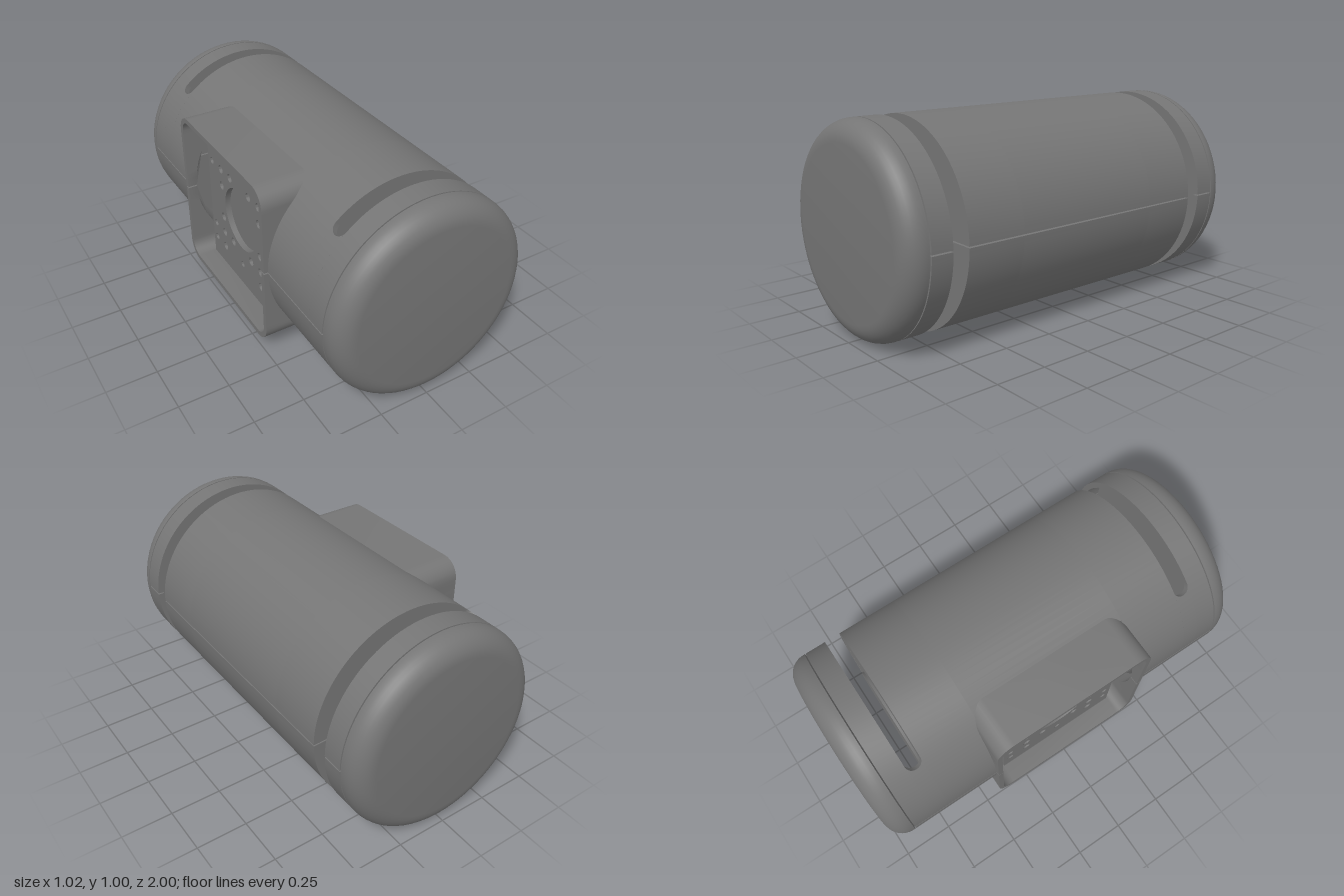
import * as THREE from 'three';
import { toCreasedNormals } from 'three/addons/utils/BufferGeometryUtils.js';

const R = 0.5, WALL = 0.03, GAP = 0.0035; // shell radius, wall, half the seam gap
const rad = THREE.MathUtils.degToRad;

export function createModel() {
  const material = new THREE.MeshStandardMaterial({ color: 0x757575 });
  const model = new THREE.Group();
  model.name = 'cylindricalHousing';
  const body = new THREE.Group();
  body.name = 'body';
  body.position.set(0.01, 0.503, 0);
  model.add(body);

  function add(name, geometry) {
    const mesh = new THREE.Mesh(geometry, material);
    mesh.name = name;
    body.add(mesh);
    return mesh;
  }

  // Mirrors a geometry in y and keeps its faces outward
  function mirrorY(geometry) {
    const g = geometry.index ? geometry.toNonIndexed() : geometry.clone();
    g.scale(1, -1, 1);
    const p = g.attributes.position, a = new THREE.Vector3(), b = new THREE.Vector3();
    for (let i = 0; i < p.count; i += 3) {
      a.fromBufferAttribute(p, i + 1);
      b.fromBufferAttribute(p, i + 2);
      p.setXYZ(i + 1, b.x, b.y, b.z);
      p.setXYZ(i + 2, a.x, a.y, a.z);
    }
    return g;
  }

  // Adds a part to the upper half and its mirror image to the lower half
  function addHalves(name, geometry) {
    add(name + 'Upper', toCreasedNormals(geometry, 0.6));
    add(name + 'Lower', toCreasedNormals(mirrorY(geometry), 0.6));
  }

  // Curved wall lofted along z between two angles
  function curvedWall(zs, from, to, n = 48) {
    const pos = [], idx = [], m = 2 * (n + 1);
    for (const z of zs) {
      const a0 = from(z), a1 = to(z);
      for (let k = 0; k < m; k++) {
        const outer = k <= n;
        const a = a0 + (a1 - a0) * (outer ? k : m - 1 - k) / n;
        const r = outer ? R : R - WALL;
        pos.push(r * Math.cos(a), r * Math.sin(a), z);
      }
    }
    const quad = (a, b, c, d) => idx.push(a, b, c, a, c, d);
    for (let i = 0; i < zs.length - 1; i++) {
      for (let k = 0; k < m; k++) {
        const k2 = (k + 1) % m;
        quad(i * m + k, i * m + k2, (i + 1) * m + k2, (i + 1) * m + k);
      }
    }
    const end = (zs.length - 1) * m;
    for (let j = 0; j < n; j++) {
      quad(end + j, end + j + 1, end + m - 2 - j, end + m - 1 - j);
      quad(j, m - 1 - j, m - 2 - j, j + 1);
    }
    const g = new THREE.BufferGeometry();
    g.setAttribute('position', new THREE.Float32BufferAttribute(pos, 3));
    g.setIndex(idx);
    return g;
  }

  // Shell halves: full bands, the part cut open behind the mount, and slotted bands
  const start = () => GAP / R, stop = () => Math.PI - GAP / R;
  const mountCut = () => start() + (stop() - start()) * 34 / 48;
  addHalves('shellMiddle', curvedWall([-0.405, 0.405], start, mountCut, 34));
  for (const s of [-1, 1]) {
    const side = s > 0 ? 'Front' : 'Rear';
    const band = (a, b) => [s * a, s * b].sort((p, q) => p - q);
    addHalves('shell' + side, curvedWall(band(0.405, 0.7), start, stop));
    addHalves('endRing' + side, curvedWall(band(0.78, 0.885), start, stop));

    // Slot with a rounded end
    const zs = [];
    for (let i = 0; i <= 12; i++) zs.push(s * 0.74 - 0.04 * Math.cos(Math.PI * i / 12));
    const slotEnd = z => {
      const t = (z - s * 0.74) / 0.04;
      return rad(135) - 0.08 * (1 - Math.sqrt(Math.max(0, 1 - t * t)));
    };
    addHalves('slotBand' + side, curvedWall(zs, slotEnd, stop, 20));

    // Bulkhead closing the shell beside the slot
    const half = new THREE.Shape().absarc(0, 0, R - WALL / 2, 2 * GAP, Math.PI - 2 * GAP, false);
    const bulkhead = new THREE.ExtrudeGeometry(half, { depth: 0.03, bevelEnabled: false, curveSegments: 48 });
    bulkhead.translate(0, 0, s > 0 ? 0.669 : -0.699);
    addHalves('bulkhead' + side, bulkhead);

    // Rounded end cap
    const profile = [new THREE.Vector2(0, 0.891), new THREE.Vector2(R, 0.891)];
    for (let i = 0; i <= 8; i++) {
      const a = Math.PI / 2 * i / 8;
      profile.push(new THREE.Vector2(R - 0.1 + 0.1 * Math.cos(a), 0.9 + 0.1 * Math.sin(a)));
    }
    profile.push(new THREE.Vector2(0, 1));
    const cap = new THREE.LatheGeometry(profile, 72).rotateX(s * Math.PI / 2);
    add('endCap' + side, toCreasedNormals(cap, 0.6));
  }

  // Inner drum reaching through the rear bulkhead, and the hub behind the plate
  const drum = new THREE.CylinderGeometry(0.28, 0.28, 1.33, 48).rotateX(Math.PI / 2);
  add('innerDrum', drum).position.z = -0.045;
  const hub = new THREE.CylinderGeometry(0.2, 0.2, 0.2, 40).rotateZ(Math.PI / 2);
  add('hub', hub).position.x = -0.294;

  // Mount frame: half of a rounded square, its inner end fitted to the shell
  function halfOutline(w, r) {
    const pts = [];
    for (let i = 0; i < 14; i++) pts.push([w, GAP + (w - r - GAP) * i / 14]);
    for (let i = 0; i <= 8; i++) {
      const a = Math.PI / 2 * i / 8;
      pts.push([w - r + r * Math.cos(a), w - r + r * Math.sin(a)]);
    }
    const mirrored = pts.map(([x, y]) => [-x, y]).reverse();
    return [...pts, ...mirrored].map(([x, y]) => new THREE.Vector2(x, y));
  }
  const frameShape = new THREE.Shape([...halfOutline(0.425, 0.09), ...halfOutline(0.4, 0.065).reverse()]);
  const frame = new THREE.ExtrudeGeometry(frameShape, { depth: 0.52, bevelEnabled: false });
  const fp = frame.attributes.position;
  for (let i = 0; i < fp.count; i++) {
    if (fp.getZ(i) < 0.01) fp.setZ(i, Math.sqrt(0.473 ** 2 - fp.getY(i) ** 2));
  }
  frame.rotateY(-Math.PI / 2);
  addHalves('mountFrame', frame);

  // Recessed mounting plate with a centre bore and screw holes
  const plateShape = new THREE.Shape();
  const pw = 0.335, ph = 0.395;
  plateShape.moveTo(-pw, -ph).lineTo(pw, -ph).lineTo(pw, ph).lineTo(-pw, ph).closePath();
  const hole = (z, y, r) => plateShape.holes.push(new THREE.Path().absarc(z, y, r, 0, Math.PI * 2, true));
  hole(0, 0, 0.165);
  for (const sy of [-1, 1]) {
    hole(0, sy * 0.27, 0.016);
    for (const sz of [-1, 1]) {
      for (const y of [0.095, 0.19, 0.28]) hole(sz * 0.195, sy * y, 0.022);
      hole(sz * 0.097, sy * 0.19, 0.022);
      for (const y of [0.19, 0.28]) hole(sz * 0.295, sy * y, 0.018);
    }
  }
  const plate = new THREE.ExtrudeGeometry(plateShape, { depth: 0.03, bevelEnabled: false, curveSegments: 20 });
  plate.rotateY(-Math.PI / 2);
  add('mountingPlate', toCreasedNormals(plate, 0.6)).position.x = -0.393;

  return model;
}
